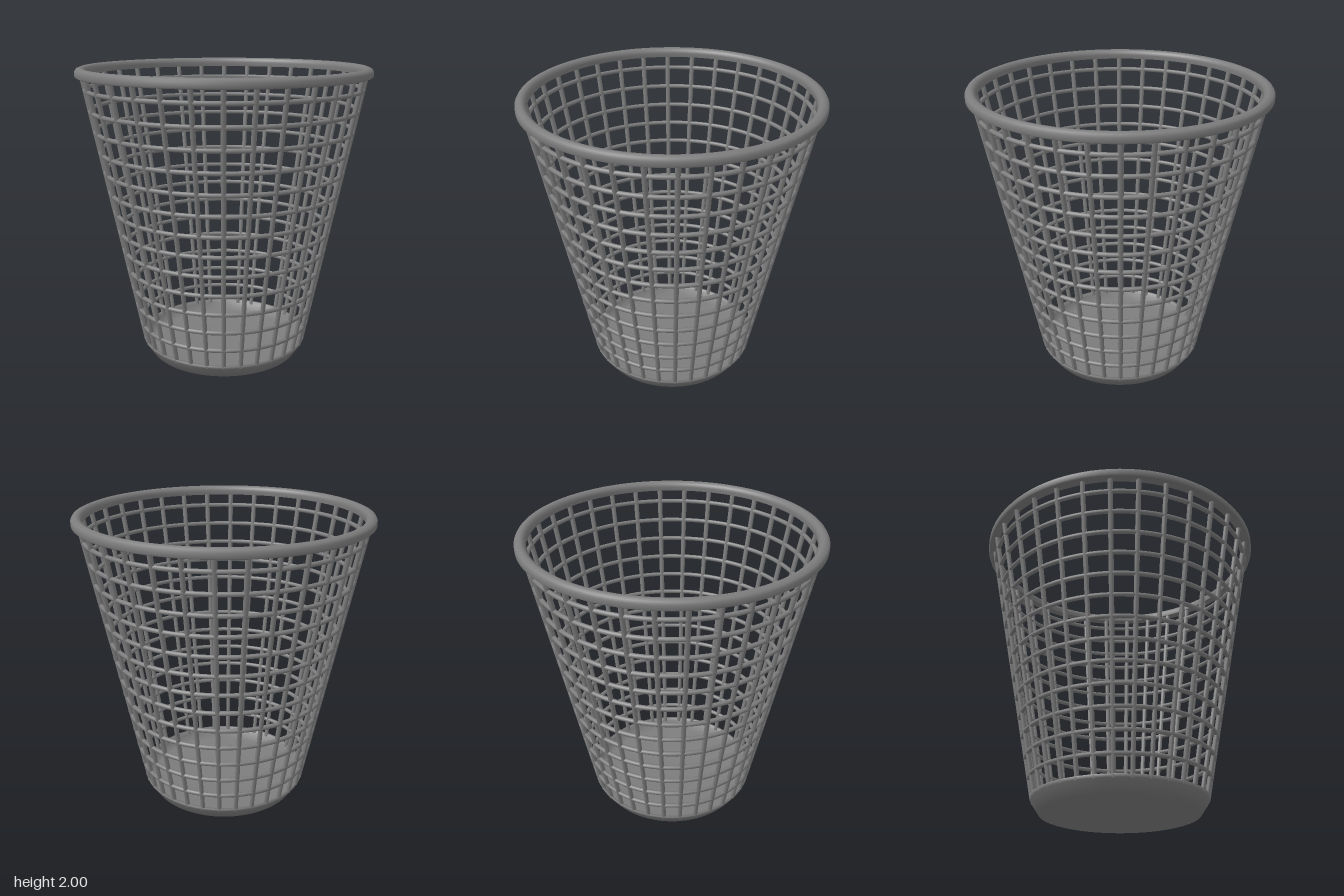
import * as THREE from 'three';

const RIBS = 32, RINGS = 13, WIRE = 0.015;
const Y0 = 0.08, Y1 = 1.96;

// Radius of the tapering wall's centre line at a height
const wallRadius = (y) => 0.57 + (y - 0.1) * 0.196;

export function createModel() {
  const model = new THREE.Group();
  model.name = 'wasteBasket';
  const material = new THREE.MeshStandardMaterial({ color: 0x7c7c7c });

  const add = (name, geometry, parent = model) => {
    const mesh = new THREE.Mesh(geometry, material);
    mesh.name = name;
    parent.add(mesh);
    return mesh;
  };
  const lathe = (points) =>
    new THREE.LatheGeometry(points.map(([r, y]) => new THREE.Vector2(r, y)), 96);

  // Shallow dish that closes the bottom, shaded softly across its edge
  add('base', lathe([
    [0, 0], [0.525, 0], [0.578, 0.08], [0.585, 0.1],
    [0.568, 0.1], [0.56, 0.08], [0.52, 0.018], [0, 0.018],
  ]));

  // Thick rim with a rounded top
  add('rim', lathe([
    [0.91, 1.937], [0.968, 1.937], [0.978, 1.945], [0.978, 1.975], [0.968, 1.991],
    [0.945, 2], [0.928, 1.997], [0.912, 1.985], [0.906, 1.965], [0.91, 1.937],
  ]));

  // Horizontal hoops
  const rings = new THREE.Group();
  rings.name = 'rings';
  model.add(rings);
  for (let i = 0; i < RINGS; i++) {
    const y = 0.22 + i * 0.1364;
    const ring = add('ring', new THREE.TorusGeometry(wallRadius(y), WIRE, 8, 96), rings);
    ring.rotation.x = Math.PI / 2;
    ring.position.y = y;
  }

  // Leaning upright ribs
  const ribs = new THREE.Group();
  ribs.name = 'ribs';
  model.add(ribs);
  const r0 = wallRadius(Y0), r1 = wallRadius(Y1);
  const ribGeometry = new THREE.CylinderGeometry(0.017, WIRE, Math.hypot(Y1 - Y0, r1 - r0), 8);
  ribGeometry.rotateX(Math.atan2(r1 - r0, Y1 - Y0));
  ribGeometry.translate(0, (Y0 + Y1) / 2, (r0 + r1) / 2);
  for (let i = 0; i < RIBS; i++) {
    add('rib', ribGeometry, ribs).rotation.y = (i / RIBS) * Math.PI * 2;
  }

  return model;
}
